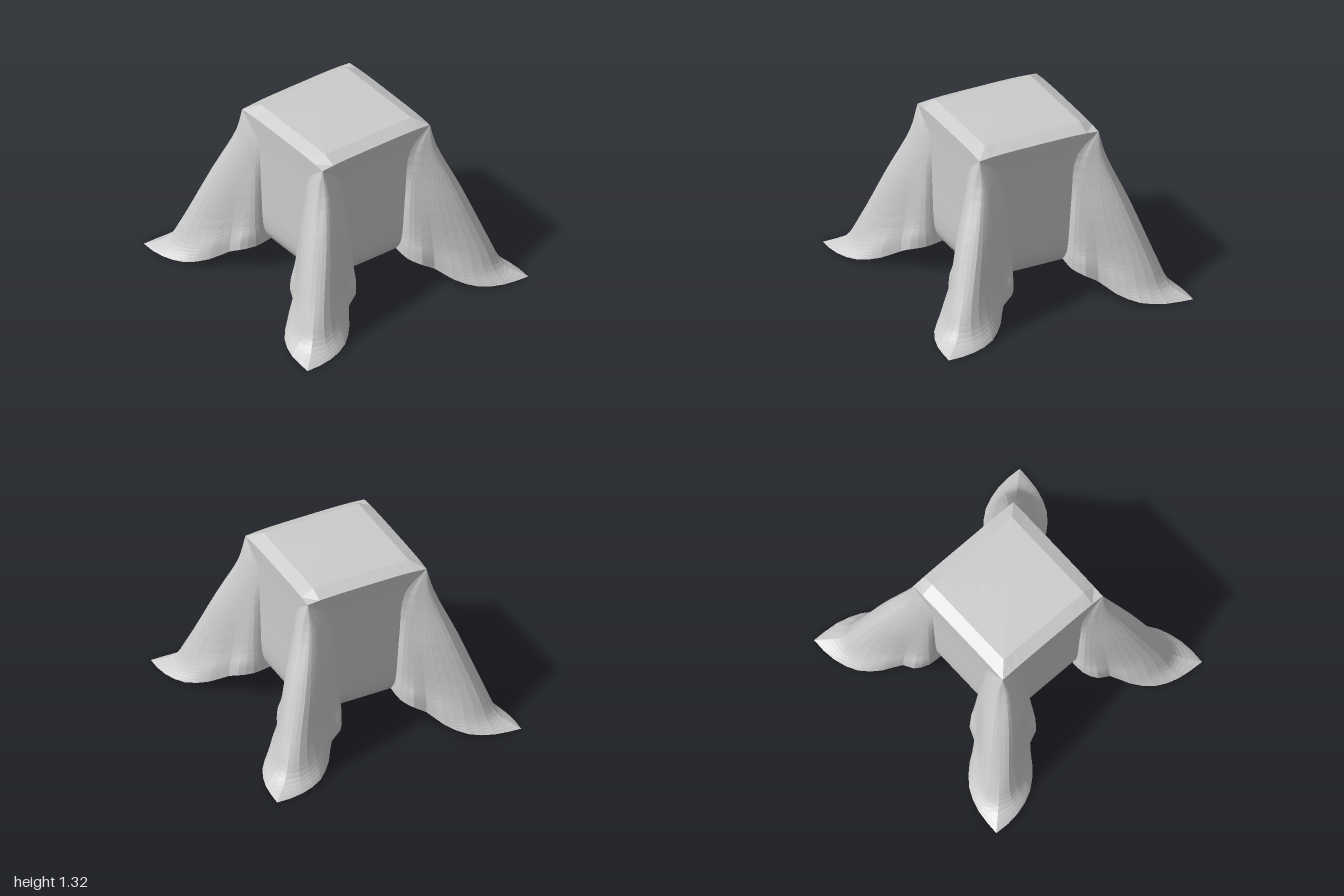
import * as THREE from 'three';

const TOP = 1.275, CORNER = 1.26, HALF = 0.483;

// Half cross-sections of a corner fold, from the crease beside the panel to the crest
const SECTIONS = [
  Array(8).fill([HALF, CORNER, HALF]),
  [[.31, 1.1, .478], [.35, 1.09, .492], [.38, 1.09, .508], [.41, 1.08, .52], [.44, 1.075, .53], [.47, 1.07, .537], [.495, 1.065, .535], [.516, 1.06, .516]],
  [[.265, .75, .478], [.28, .74, .52], [.33, .73, .56], [.38, .72, .595], [.44, .71, .633], [.52, .7, .667], [.595, .7, .678], [.643, .7, .643]],
  [[.24, .4, .475], [.25, .39, .54], [.31, .37, .605], [.385, .35, .645], [.47, .3, .72], [.6, .27, .8], [.73, .25, .83], [.795, .25, .795]],
  [[.235, .31, .455], [.24, .3, .54], [.3, .28, .63], [.385, .22, .665], [.47, .17, .765], [.595, .12, .855], [.76, .09, .895], [.865, .085, .865]],
  [[.23, .24, .41], [.24, .215, .54], [.3, .19, .64], [.385, .14, .67], [.47, .075, .79], [.6, .028, .912], [.78, .008, .978], [.985, 0, .993]],
];
const ROWS = 20, HALF_COLS = 14;

const material = new THREE.MeshStandardMaterial({
  color: 0xcccccc, flatShading: true, side: THREE.DoubleSide,
});

// Faceted sheet from a grid of points: i runs right, j runs down
function sheet(name, nu, nv, point) {
  const positions = [], index = [];
  for (let j = 0; j <= nv; j++) {
    for (let i = 0; i <= nu; i++) {
      const p = point(i, j);
      positions.push(p.x, Math.max(0, p.y), p.z);
      if (i < nu && j < nv) {
        const a = j * (nu + 1) + i, b = a + nu + 1;
        index.push(a, b, a + 1, b, b + 1, a + 1);
      }
    }
  }
  const geometry = new THREE.BufferGeometry();
  geometry.setAttribute('position', new THREE.Float32BufferAttribute(positions, 3));
  geometry.setIndex(index);
  geometry.computeVertexNormals();
  const mesh = new THREE.Mesh(geometry, material);
  mesh.name = name;
  return mesh;
}

// Height of the top edge: slightly sagging towards its two corners
const rimHeight = (u) => TOP + (CORNER - TOP) * u ** 4;

export function createModel() {
  const group = new THREE.Group();
  group.name = 'drapedCloth';

  // Each column of the fold is a smooth line from the top corner to the hem
  const columns = SECTIONS[0].map((_, k) =>
    new THREE.CatmullRomCurve3(SECTIONS.map((s) => new THREE.Vector3(...s[k]))));
  const rows = [];
  for (let j = 0; j <= ROWS; j++) {
    rows.push(new THREE.CatmullRomCurve3(columns.map((c) => c.getPoint(j / ROWS))));
  }

  // The second half of a fold mirrors the first across its diagonal
  const foldPoint = (i, j) => {
    if (i <= HALF_COLS) return rows[j].getPoint(i / HALF_COLS);
    const p = rows[j].getPoint(2 - i / HALF_COLS);
    return new THREE.Vector3(p.z, p.y, p.x);
  };

  // Four side panels and four corner folds
  const sides = ['front', 'left', 'back', 'right'];
  const corners = ['frontLeft', 'backLeft', 'backRight', 'frontRight'];
  for (let q = 0; q < 4; q++) {
    const panel = sheet(sides[q] + 'Panel', 10, ROWS, (i, j) => {
      const c = rows[j].points[0], u = i / 5 - 1;
      return new THREE.Vector3(c.x * u, j ? c.y : rimHeight(u), c.z);
    });
    const fold = sheet(corners[q] + 'Fold', 2 * HALF_COLS, ROWS, foldPoint);
    panel.rotation.y = fold.rotation.y = q * Math.PI / 2;
    group.add(panel, fold);
  }

  // Top, gently raised inside a sloping rim
  group.add(sheet('topPanel', 10, 10, (i, j) => {
    const u = i / 5 - 1, v = j / 5 - 1;
    const edge = Math.max(Math.abs(u), Math.abs(v));
    const y = edge > 0.99
      ? rimHeight(Math.min(Math.abs(u), Math.abs(v)))
      : 1.315 + 0.01 * (0.8 - edge);
    return new THREE.Vector3(u * HALF, y, v * HALF);
  }));

  // Block under the cloth, its underside showing above the hem
  const block = new THREE.Mesh(new THREE.BoxGeometry(0.94, 0.86, 0.94), material);
  block.name = 'innerBlock';
  block.position.y = 0.825;
  group.add(block);

  return group;
}
